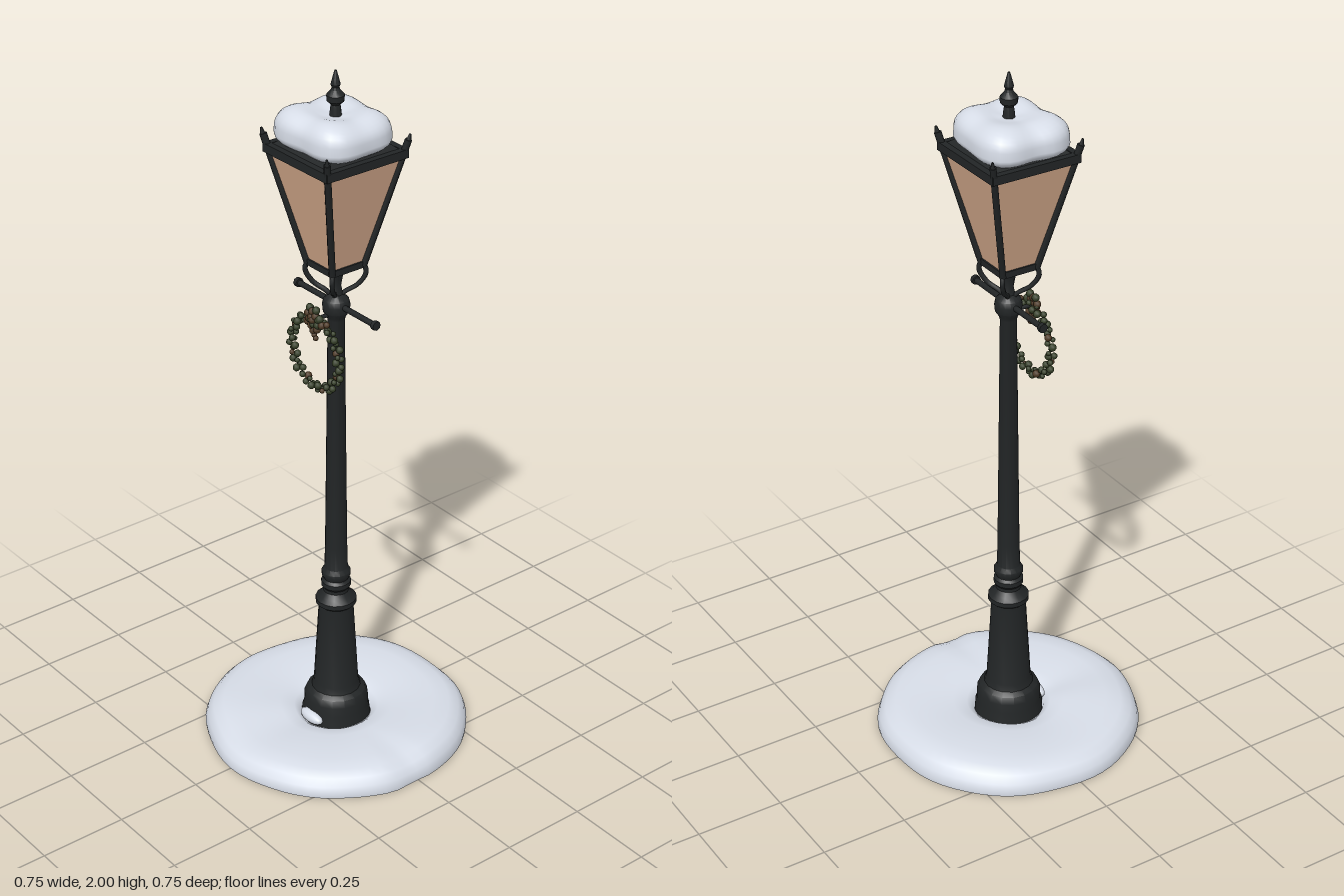
import * as THREE from 'three';
import { mergeGeometries, mergeVertices, toCreasedNormals } from 'three/addons/utils/BufferGeometryUtils.js';

const mat = (name, color, side = THREE.FrontSide) =>
  Object.assign(new THREE.MeshStandardMaterial({ color, side }), { name });
const V = (x, y, z) => new THREE.Vector3(x, y, z);

export function createModel() {
  const iron = mat('black iron', 0x222526);
  const glass = mat('warm glass', 0xd6ab8d, THREE.DoubleSide);
  const snow = mat('snow', 0xdfe5f0);
  const green = mat('wreath green', 0x343e26);
  const brown = mat('cone brown', 0x4c3722);

  const model = new THREE.Group();
  model.name = 'snowyStreetLamp';
  const add = (name, geo, material, parent = model) => {
    const mesh = new THREE.Mesh(geo, material);
    mesh.name = name;
    parent.add(mesh);
    return mesh;
  };
  const lathe = (pts, sides) => toCreasedNormals(
    new THREE.LatheGeometry(pts.map(p => new THREE.Vector2(...p)), sides), 0.6);
  // Straight rod between two points
  const rod = (a, b, r0, r1 = r0, sides = 8) => {
    const d = b.clone().sub(a);
    const g = new THREE.CylinderGeometry(r1, r0, d.length(), sides);
    g.applyQuaternion(new THREE.Quaternion().setFromUnitVectors(V(0, 1, 0), d.normalize()));
    const m = a.clone().add(b).multiplyScalar(0.5);
    return g.translate(m.x, m.y, m.z);
  };
  // Move each vertex by a rule, then smooth
  const reshape = (geo, rule) => {
    geo.deleteAttribute('uv');
    geo.deleteAttribute('normal');
    const g = mergeVertices(geo, 1e-5);
    const p = g.attributes.position, v = V(0, 0, 0);
    for (let i = 0; i < p.count; i++) {
      rule(v.fromBufferAttribute(p, i));
      p.setXYZ(i, v.x, v.y, v.z);
    }
    g.computeVertexNormals();
    return g;
  };

  // Post: stepped foot, tapered pedestal, rings, slender shaft and collar
  add('post', lathe([
    [0, 0.001], [0.1, 0.001], [0.098, 0.05], [0.092, 0.07], [0.092, 0.1], [0.084, 0.12],
    [0.07, 0.13], [0.064, 0.15], [0.05, 0.39], [0.05, 0.405], [0.058, 0.412], [0.058, 0.426],
    [0.046, 0.436], [0.036, 0.45], [0.036, 0.46], [0.042, 0.468], [0.042, 0.482], [0.035, 0.49],
    [0.041, 0.502], [0.041, 0.514], [0.033, 0.526], [0.031, 0.6], [0.023, 1.3], [0.026, 1.31],
    [0.036, 1.325], [0.038, 1.345], [0.034, 1.36], [0.018, 1.375], [0.013, 1.4],
    [0.018, 1.43], [0.034, 1.46], [0, 1.465],
  ], 16), iron);

  // Ladder rest with knobbed ends
  add('ladderRest', mergeGeometries([
    rod(V(-0.165, 1.345, 0), V(0.16, 1.345, 0), 0.008),
    ...[-1, 1].map(s => rod(V(s * 0.157, 1.345, 0), V(s * 0.169, 1.345, 0), 0.013)),
  ]), iron);

  // Lantern: tapered glass box in an iron frame
  const lantern = new THREE.Group();
  lantern.name = 'lantern';
  lantern.position.x = -0.003;
  model.add(lantern);
  const y0 = 1.465, y1 = 1.785, w0 = 0.051, w1 = 0.126;
  for (let i = 0; i < 4; i++) {
    const side = new THREE.Group();
    side.name = 'lanternSide' + (i + 1);
    side.rotation.y = i * Math.PI / 2;
    lantern.add(side);
    const pane = new THREE.PlaneGeometry(1, 1);
    const p = pane.attributes.position;
    for (let k = 0; k < 4; k++) {
      const top = p.getY(k) > 0, w = top ? w1 : w0;
      p.setXYZ(k, Math.sign(p.getX(k)) * w, top ? y1 : y0, w);
    }
    pane.computeVertexNormals();
    add('glassPane', pane, glass, side);
    add('topRail', new THREE.BoxGeometry(0.264, 0.024, 0.018).translate(0, 1.782, 0.125), iron, side);
    add('bottomRail', new THREE.BoxGeometry(0.116, 0.018, 0.014).translate(0, 1.465, 0.051), iron, side);
    add('cornerBar', rod(V(0.052, 1.46, 0.052), V(0.132, 1.82, 0.132), 0.01, 0.01, 6), iron, side);
    add('cornerTip', rod(V(0.132, 1.815, 0.132), V(0.135, 1.836, 0.135), 0.008, 0.003, 6), iron, side);
    // Curved bracket under each corner
    const curve = new THREE.CatmullRomCurve3([
      V(0.052, 1.468, 0.052), V(0.057, 1.44, 0.057), V(0.042, 1.405, 0.042),
      V(0.018, 1.382, 0.018), V(0.006, 1.365, 0.006)]);
    add('bracket', new THREE.TubeGeometry(curve, 14, 0.007, 6), iron, side);
  }
  add('lanternFloor', new THREE.BoxGeometry(0.104, 0.012, 0.104).translate(0, 1.465, 0), iron, lantern);
  add('roof', toCreasedNormals(new THREE.CylinderGeometry(0.035, 0.18, 0.085, 4)
    .rotateY(Math.PI / 4).translate(0, 1.825, 0), 0.3), iron, lantern);
  add('finial', lathe([
    [0, 1.85], [0.018, 1.86], [0.014, 1.9], [0.012, 1.908], [0.023, 1.918], [0.024, 1.934],
    [0.012, 1.948], [0.01, 1.955], [0.013, 1.962], [0.009, 1.978], [0.003, 2], [0, 2],
  ], 12), iron, lantern);

  // Snow cap: soft square blob with four lobes
  add('snowCap', reshape(new THREE.SphereGeometry(1, 40, 24), v => {
    const a = Math.atan2(v.z, v.x), r = Math.hypot(v.x, v.z);
    const lobe = Math.sin(2 * a) ** 2;
    const spread = Math.pow(r, 0.8) * (0.122 + 0.026 * lobe + 0.005 * Math.sin(3 * a + 1));
    const dip = 0.028 * Math.exp(-((r / 0.4) ** 2)) + 0.016 * (1 - lobe) * r;
    v.y = v.y > 0 ? 1.825 + 0.081 * Math.pow(v.y, 0.65) - dip * v.y : 1.825 + 0.045 * v.y;
    v.x = spread * Math.cos(a) * (v.x < 0 ? 1.16 : 1.05) - 0.004;
    v.z = spread * Math.sin(a);
    if (v.x < 0) v.x *= 1 - 0.9 * Math.max(0, v.z - 0.04);
  }), snow);

  // Snow mound on the ground, uneven at rim and top, open around the foot
  const mound = reshape(new THREE.LatheGeometry([
    [0.09, 0.001], [0.376, 0.001], [0.377, 0.012], [0.37, 0.034], [0.353, 0.053], [0.325, 0.065],
    [0.28, 0.069], [0.22, 0.067], [0.16, 0.062], [0.12, 0.055], [0.1, 0.04], [0.09, 0.001],
  ].map(p => new THREE.Vector2(...p)), 64), v => {
    const a = Math.atan2(v.z, v.x), r = Math.hypot(v.x, v.z);
    const edge = THREE.MathUtils.smoothstep(r, 0.15, 0.37);
    const dent = Math.exp(-(((a - 0.05) / 0.12) ** 2));
    const k = 1 + edge * (0.006 * Math.sin(5 * a + 0.6) + 0.005 * Math.sin(9 * a) - 0.025 * dent);
    const frontDip = Math.exp(-(((a - 1.6) / 0.35) ** 2));
    v.x *= k;
    v.z *= k;
    if (v.y > 0.005) v.y *= 1 + 0.05 * Math.sin(3 * a + 2) - 0.16 * frontDip - 0.15 * dent * edge;
  });
  add('snowMound', toCreasedNormals(mound, 0.9), snow);
  // Little drift against the front of the foot
  add('snowDrift', new THREE.SphereGeometry(1, 16, 8).scale(0.045, 0.018, 0.02)
    .translate(0.005, 0.056, 0.093), snow);

  // Wreath: beads wound round a ring, with a cluster of cones on top
  const wreath = new THREE.Group();
  wreath.name = 'wreath';
  wreath.position.set(0, 1.222, 0.07);
  model.add(wreath);
  const beads = { green: [], brown: [] };
  const bead = (list, x, y, z, r) => list.push(new THREE.IcosahedronGeometry(r, 1).translate(x, y, z));
  const count = 72;
  for (let i = 0; i < count; i++) {
    const a = i / count * Math.PI * 2, t = i * 2.4;
    const R = 0.1 + 0.009 * Math.cos(t);
    bead(i % 9 === 4 ? beads.brown : beads.green,
      R * Math.cos(a), R * Math.sin(a), 0.008 * Math.sin(t), 0.009 + 0.002 * Math.sin(i * 1.7));
  }
  for (let i = 0; i < 16; i++) {
    const a = i * 2.4, r = 0.009 * Math.sqrt(i);
    bead(i % 3 === 2 ? beads.green : beads.brown,
      r * Math.cos(a), 0.1 + r * Math.sin(a), 0.01 - r * 0.2, 0.011);
  }
  for (let i = 0; i < 3; i++) bead(beads.brown, 0.006 * (i - 1), 0.062 - i * 0.008, 0.004, 0.008);
  add('wreathLeaves', mergeGeometries(beads.green), green, wreath);
  add('wreathCones', mergeGeometries(beads.brown), brown, wreath);
  add('wreathHook', rod(V(0, 1.32, 0.02), V(0, 1.32, 0.07), 0.006), iron);

  return model;
}
